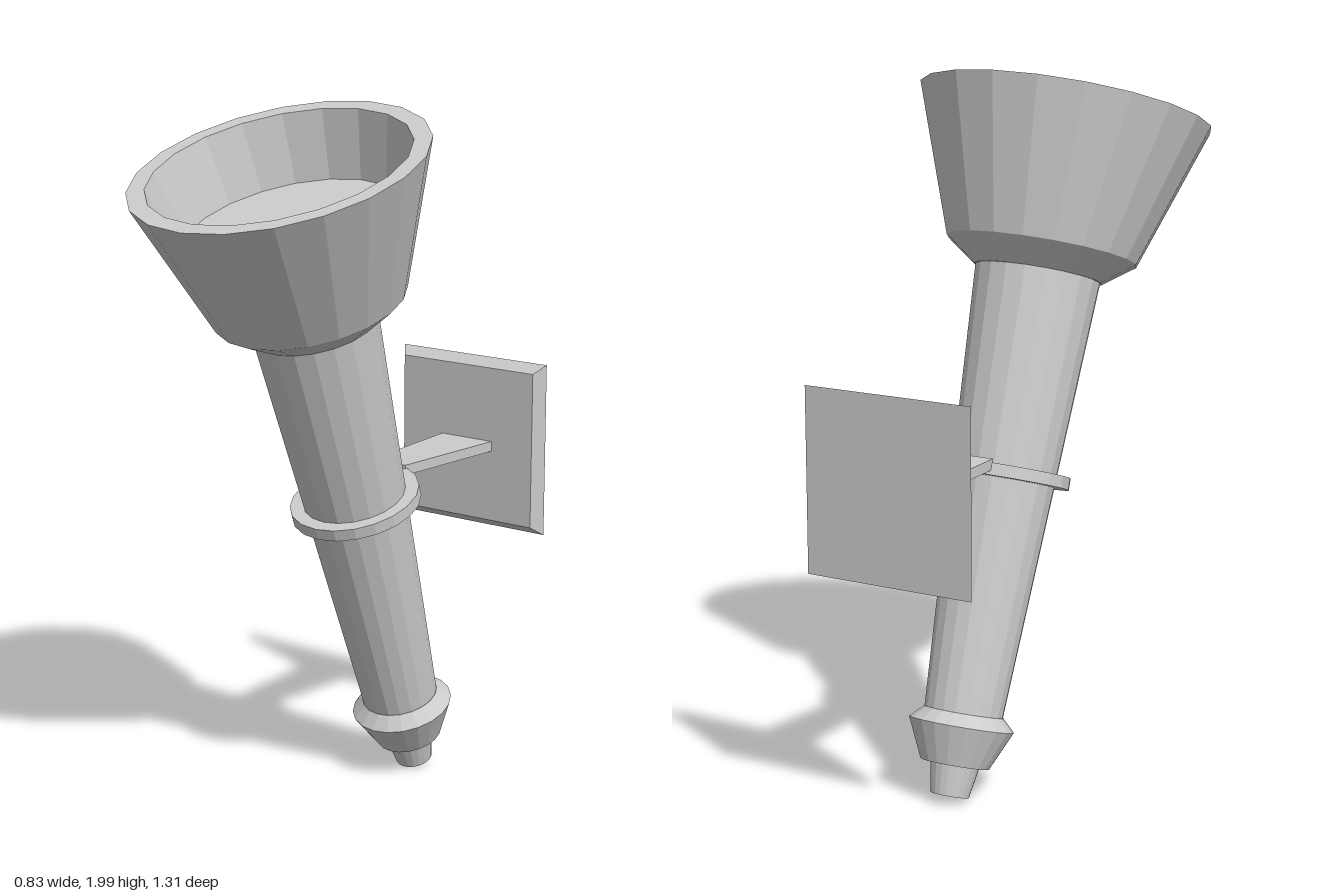
import * as THREE from 'three';

const SIDES = 20;
const material = new THREE.MeshStandardMaterial({ color: 0xcccccc, flatShading: true });

function addMesh(parent, name, geometry) {
  const mesh = new THREE.Mesh(geometry, material);
  mesh.name = name;
  parent.add(mesh);
  return mesh;
}

// Faceted turned part; profile is [radius, height] from bottom to top
function turned(parent, name, profile) {
  const points = profile.map(([r, h]) => new THREE.Vector2(r, h));
  return addMesh(parent, name, new THREE.LatheGeometry(points, SIDES));
}

// Box-like frustum along z: half sizes at the back (z0) and the front (z1)
function taperedBox(parent, name, z0, back, z1, front) {
  const geometry = new THREE.BoxGeometry(2, 2, z1 - z0);
  const p = geometry.attributes.position;
  for (let i = 0; i < p.count; i++) {
    const [hx, hy] = p.getZ(i) < 0 ? back : front;
    p.setXY(i, p.getX(i) * hx, p.getY(i) * hy);
  }
  geometry.computeVertexNormals();
  const mesh = addMesh(parent, name, geometry);
  mesh.position.z = (z0 + z1) / 2;
  return mesh;
}

export function createModel() {
  const model = new THREE.Group();
  model.name = 'wallTorch';

  // Torch, built upright and leaned forward from its tip
  const torch = new THREE.Group();
  torch.name = 'torch';
  torch.position.set(0, 0.021, -0.367);
  torch.rotation.x = 0.328;
  model.add(torch);

  turned(torch, 'tip', [[0, 0], [0.054, 0], [0.07, 0.09]]);
  turned(torch, 'pommel', [[0, 0.087], [0.097, 0.087], [0.148, 0.197], [0.112, 0.232], [0, 0.232]]);
  turned(torch, 'shaft', [[0.11, 0.22], [0.178, 1.475]]);
  turned(torch, 'bowl', [
    [0, 1.469], [0.181, 1.469], [0.271, 1.535], [0.416, 1.947],
    [0.365, 1.947], [0.314, 1.757], [0, 1.757],
  ]);
  turned(torch, 'holderRing', [[0.14, 0.885], [0.187, 0.885], [0.187, 0.919], [0.14, 0.919]]);

  // Wall bracket: flared arm and bevelled plate
  taperedBox(model, 'bracketArm', -0.63, [0.09, 0.015], -0.232, [0.06, 0.015]).position.y = 0.942;
  taperedBox(model, 'wallPlate', -0.657, [0.257, 0.257], -0.622, [0.232, 0.232]).position.y = 0.947;

  return model;
}
